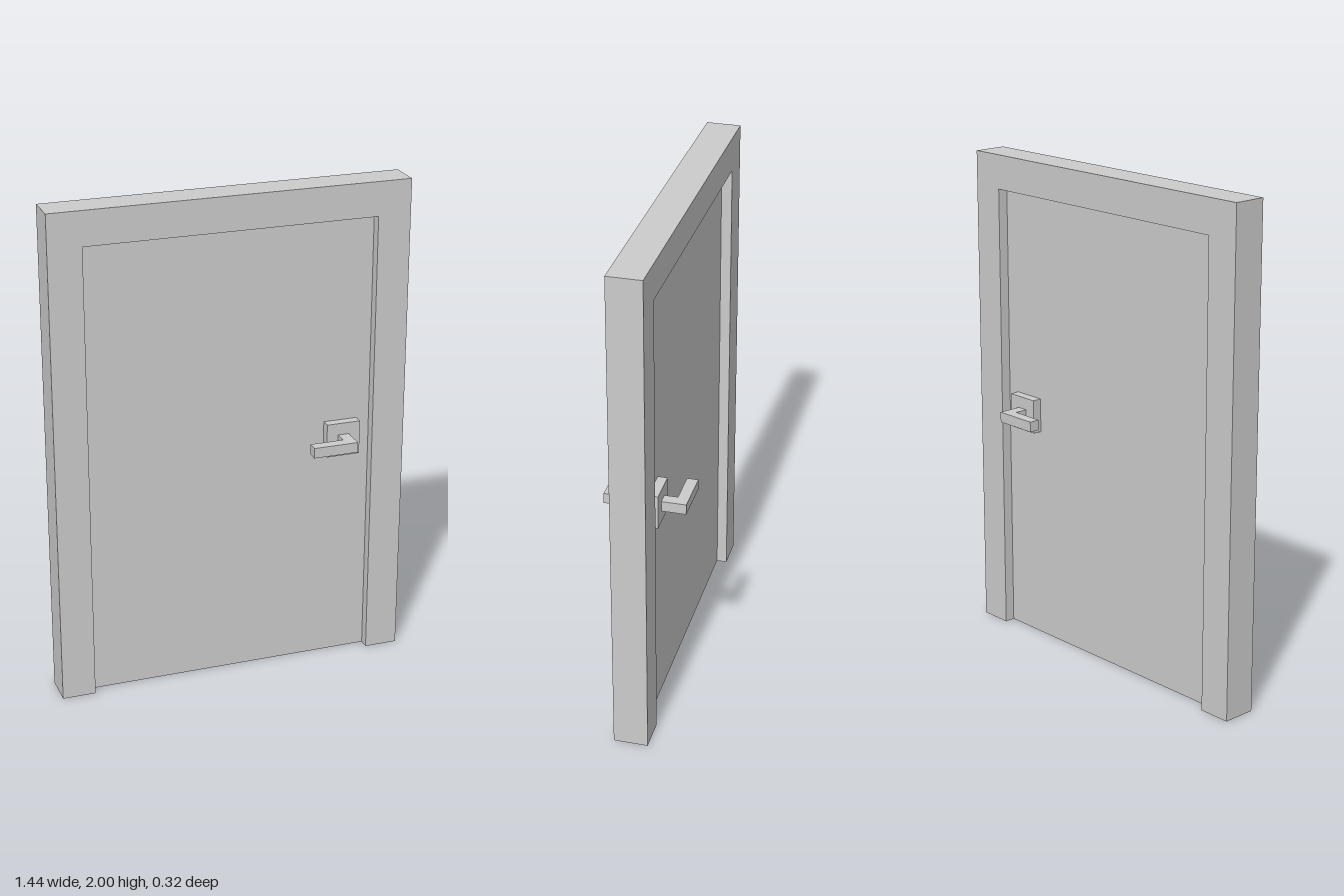
import * as THREE from 'three';

const material = new THREE.MeshStandardMaterial({ color: 0xcccccc, flatShading: true });

const W = 0.719, H = 2, D = 0.068;      // frame half width, height, half depth
const OPEN_W = 0.585, OPEN_H = 1.862;   // opening half width and height
const DOOR_D = 0.026;                   // door leaf half thickness
const HANDLE_X = 0.463, HANDLE_Y = 0.955;

function add(parent, name, geometry) {
  const mesh = new THREE.Mesh(geometry, material);
  mesh.name = name;
  parent.add(mesh);
  return mesh;
}

function outline(points) {
  return new THREE.Shape(points.map(([x, y]) => new THREE.Vector2(x, y)));
}

// Square plate and L-shaped lever for one face; side is +1 (front) or -1 (back)
function createHandle(side) {
  const handle = new THREE.Group();
  handle.name = side > 0 ? 'frontHandle' : 'backHandle';

  const plateFront = 0.064;
  const depth = plateFront - DOOR_D;
  add(handle, 'handlePlate', new THREE.BoxGeometry(0.139, 0.139, depth))
    .position.set(HANDLE_X, HANDLE_Y, side * (DOOR_D + depth / 2));

  // Lever outline in x and z, extruded along y
  const inner = 0.116, outer = 0.16, tip = 0.302, stemL = 0.44, stemR = 0.486;
  const height = 0.042;
  const points = [
    [stemL, plateFront], [stemR, plateFront], [stemR, outer],
    [tip, outer], [tip, inner], [stemL, inner],
  ].map(([x, z]) => [x, -side * z]);
  const lever = new THREE.ExtrudeGeometry(outline(points), { depth: height, bevelEnabled: false });
  lever.rotateX(-Math.PI / 2);
  add(handle, 'lever', lever).position.y = HANDLE_Y - height / 2;
  return handle;
}

export function createModel() {
  const model = new THREE.Group();
  model.name = 'door';

  // Frame: two jambs and a lintel in one piece, open at the floor
  const frame = new THREE.ExtrudeGeometry(outline([
    [-W, 0], [-OPEN_W, 0], [-OPEN_W, OPEN_H], [OPEN_W, OPEN_H],
    [OPEN_W, 0], [W, 0], [W, H], [-W, H],
  ]), { depth: 2 * D, bevelEnabled: false });
  add(model, 'doorFrame', frame).position.z = -D;

  // Recessed leaf
  add(model, 'doorLeaf', new THREE.BoxGeometry(2 * OPEN_W, OPEN_H, 2 * DOOR_D))
    .position.y = OPEN_H / 2;

  for (const side of [1, -1]) model.add(createHandle(side));
  return model;
}
